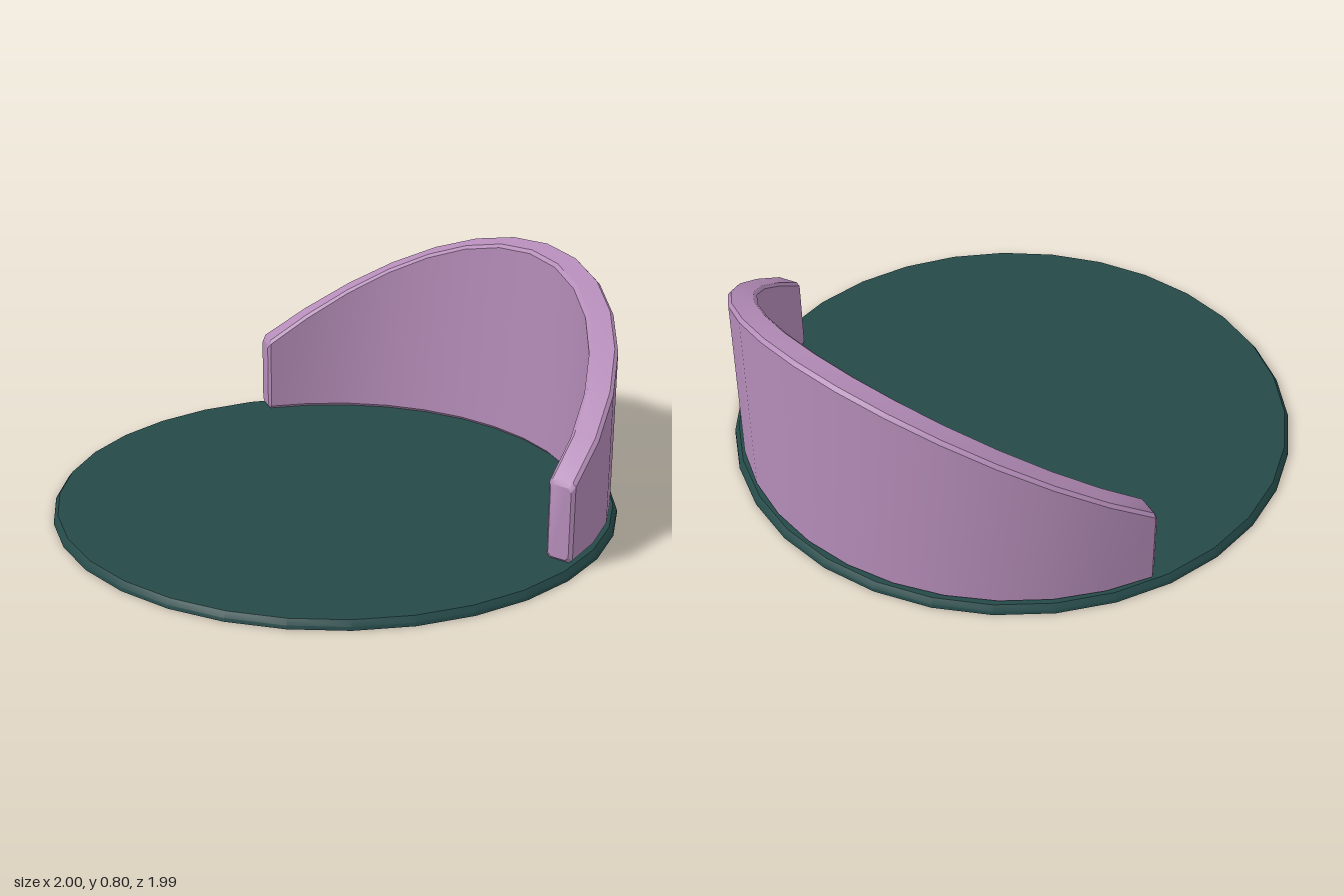
import * as THREE from 'three';
import { toCreasedNormals } from 'three/addons/utils/BufferGeometryUtils.js';

const DEG = Math.PI / 180;

// Chamfered cross-section of the wall at arc position t (0..1), as [radius, y]
function wallSection(t, inset) {
  const rIn = 0.88 + inset, rOut = 0.978 - inset, c = 0.012;
  const bottom = 0.03 + inset;
  const top = 0.295 + 0.49 * Math.sin(Math.PI * t) - inset;
  const topIn = top - 0.012 * Math.sin(Math.PI * t);
  return [
    [rIn + c, bottom], [rOut - c, bottom], [rOut, bottom + c], [rOut, top],
    [rOut - c, top + c], [rIn + c, topIn + c], [rIn, topIn], [rIn, bottom + c],
  ];
}

// Curved wall: sections swept along an arc, with bevelled ends
function wallGeometry() {
  const start = -5.5, sweep = 144.5, segments = 14, n = 8;
  const edge = 0.7 / sweep;
  const stations = [[0, 0.01], [edge, 0]];
  for (let i = 1; i < segments; i++) stations.push([i / segments, 0]);
  stations.push([1 - edge, 0], [1, 0.01]);

  const positions = [], index = [];
  for (const [t, inset] of stations) {
    const a = (start + sweep * t) * DEG;
    for (const [r, y] of wallSection(t, inset)) {
      positions.push(r * Math.cos(a) - 0.005, y, -r * Math.sin(a));
    }
  }
  for (let i = 0; i < stations.length - 1; i++) {
    for (let j = 0; j < n; j++) {
      const k = (j + 1) % n;
      const a = i * n + j, b = a + n, c = (i + 1) * n + k, d = i * n + k;
      index.push(a, b, c, a, c, d);
    }
  }
  // End caps
  const last = (stations.length - 1) * n;
  for (let j = 1; j < n - 1; j++) {
    index.push(0, j, j + 1, last, last + j + 1, last + j);
  }
  const geometry = new THREE.BufferGeometry();
  geometry.setAttribute('position', new THREE.Float32BufferAttribute(positions, 3));
  geometry.setIndex(index);
  return toCreasedNormals(geometry, 30 * DEG);
}

// Thin round base with a bevelled rim
function baseGeometry() {
  const profile = [[0, 0], [1, 0], [0.998, 0.012], [0.984, 0.03], [0, 0.03]]
    .map(([r, y]) => new THREE.Vector2(r, y));
  return toCreasedNormals(new THREE.LatheGeometry(profile, 31), 30 * DEG);
}

export function createModel() {
  const model = new THREE.Group();
  model.name = 'curvedScreenOnDisc';

  const base = new THREE.Mesh(baseGeometry(), new THREE.MeshStandardMaterial({ color: 0x254a49 }));
  base.name = 'base';
  base.position.z = -0.0025;

  const wall = new THREE.Mesh(wallGeometry(), new THREE.MeshStandardMaterial({ color: 0xb48cb8 }));
  wall.name = 'curvedWall';

  model.add(base, wall);
  return model;
}
